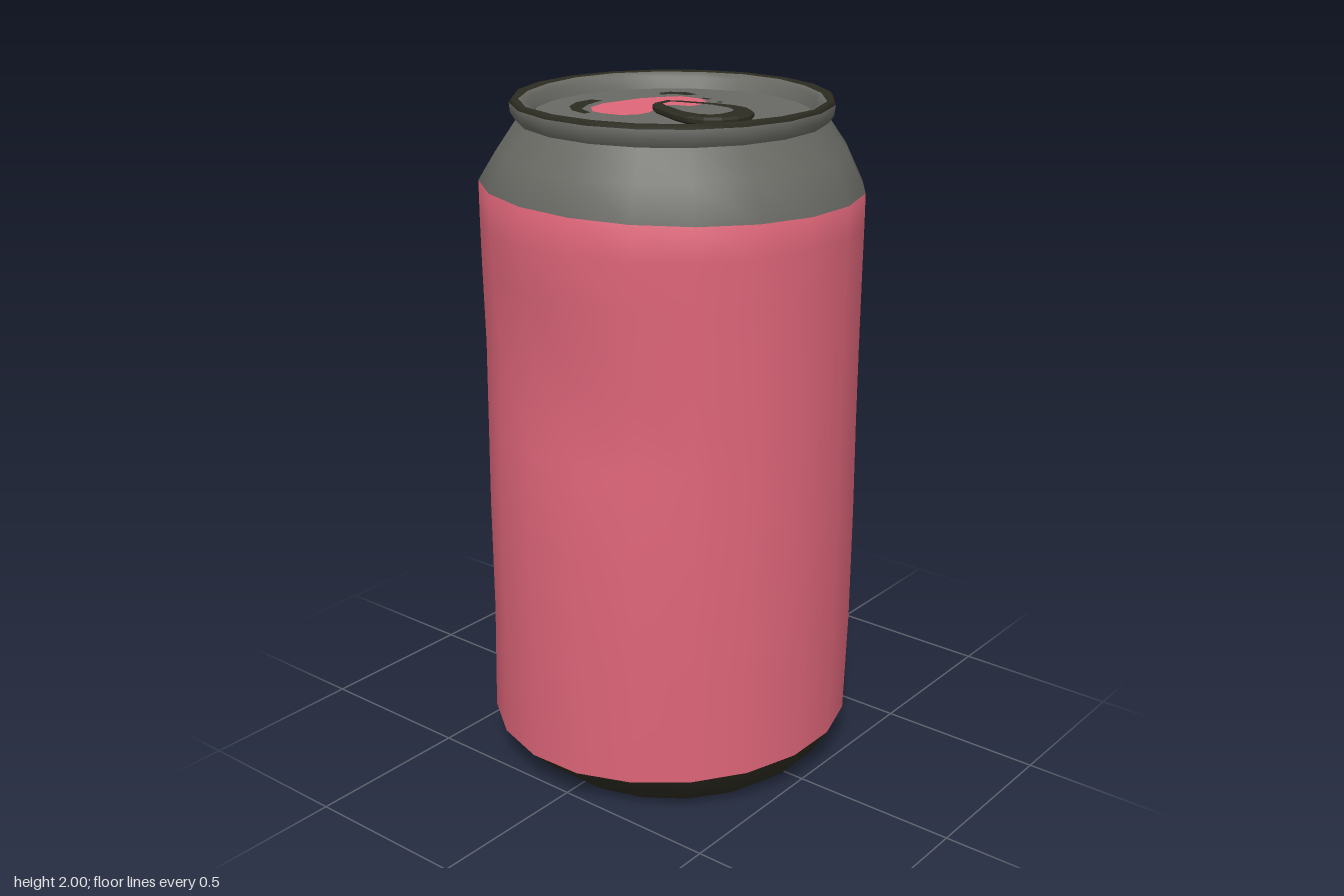
import * as THREE from 'three';
import { mergeVertices } from 'three/addons/utils/BufferGeometryUtils.js';

const SIDES = 20;

const paint = (name, color) => {
  const m = new THREE.MeshStandardMaterial({ color });
  m.name = name;
  return m;
};

export function createModel() {
  const red = paint('red paint', 0xdf667a);
  const metal = paint('grey metal', 0x696a64);
  const dark = paint('dark grime', 0x2d2c21);
  const palette = [red, metal, dark];
  const can = new THREE.Group();
  can.name = 'drinkCan';

  const add = (name, geometry, material, y = 0) => {
    const mesh = new THREE.Mesh(geometry, material);
    mesh.name = name;
    mesh.position.y = y;
    can.add(mesh);
    return mesh;
  };

  // Smooth turned shell. Profile rows are [radius, y, material of the strip above].
  // An optional rule moves each vertex, given its row and angle.
  const shell = (name, rows, rule) => {
    const lathe = new THREE.LatheGeometry(
      rows.map(([r, y]) => new THREE.Vector2(r, y)), SIDES, Math.PI / SIDES);
    const p = lathe.attributes.position;
    const v = new THREE.Vector3();
    if (rule) {
      for (let i = 0; i < p.count; i++) {
        v.fromBufferAttribute(p, i);
        rule(v, i % rows.length, Math.atan2(v.x, v.z));
        p.setXYZ(i, v.x, v.y, v.z);
      }
    }
    // Regroup faces by strip so that each strip can take its own colour
    const index = [], n = rows.length;
    lathe.clearGroups();
    for (let j = 0; j < n - 1; j++) {
      const start = index.length;
      for (let i = 0; i < SIDES; i++) {
        const a = i * n + j, b = a + n;
        if (rows[j][0] > 0) index.push(a, b, a + 1);
        if (rows[j + 1][0] > 0) index.push(b + 1, a + 1, b);
        else if (rows[j][0] === 0) index.push(b + 1, a + 1, b);
      }
      // Strips at the axis still need the outer triangle
      if (rows[j][0] === 0) {
        index.length = start;
        for (let i = 0; i < SIDES; i++) index.push(i * n + j, (i + 1) * n + j + 1, i * n + j + 1);
      }
      lathe.addGroup(start, index.length - start, palette.indexOf(rows[j][2] || metal));
    }
    lathe.setIndex(index);
    lathe.deleteAttribute('uv');
    lathe.deleteAttribute('normal');
    const geometry = mergeVertices(lathe, 1e-4);
    geometry.computeVertexNormals();
    return add(name, geometry, palette);
  };

  // The lower paint edge rises at the front, where the wall is also pressed in
  const lowerEdge = (v, angle) => {
    v.y += 0.022 * Math.max(0, Math.cos(angle));
    v.z -= 0.01;
  };

  // Base: slightly domed underside and chamfer
  shell('base', [
    [0, 0.03, dark], [0.3, 0.025, dark], [0.38, 0.005, dark], [0.425, 0, dark],
    [0.485, 0.05, dark], [0.545, 0.11],
  ], (v, row, angle) => { if (row === 5) lowerEdge(v, angle); });

  // Painted wall with a dent on one side, running smoothly into the bare neck
  shell('wallAndNeck', [
    [0.545, 0.11, red], [0.545, 0.45, red], [0.546, 0.8, red], [0.544, 1.07, red],
    [0.544, 1.3, red], [0.545, 1.53, red], [0.546, 1.66, red], [0.546, 1.76, metal],
    [0.495, 1.855, metal], [0.438, 1.938],
  ], (v, row, angle) => {
    if (row === 0) lowerEdge(v, angle);
    if (row === 7) v.y -= 0.013 * Math.cos(angle - 0.6);
    const around = Math.exp(-(((angle + Math.PI / 2) / 0.5) ** 2));
    const depth = { 3: 0.012, 4: 0.04, 5: 0.004 }[row] || 0;
    const s = 1 - (depth * around) / 0.545;
    v.x *= s;
    v.z *= s;
  });

  // Rolled rim with an uneven band of grime
  shell('rim', [
    [0.438, 1.938, metal], [0.452, 1.96, metal], [0.455, 1.988, dark],
    [0.446, 2, dark], [0.424, 1.997, metal], [0.405, 1.985, metal], [0.392, 1.952],
  ], (v, row, angle) => {
    if (row !== 4) return;
    const s = 1 + 0.012 * Math.sin(5 * angle) + 0.012 * Math.sin(3 * angle + 1);
    v.x *= s;
    v.z *= s;
  });

  shell('lid', [[0.392, 1.952, metal], [0, 1.952]]);

  // Flat parts drawn in plan as [x, z]
  const plan = (points) => points.map(([x, z]) => new THREE.Vector2(x, -z));
  const plate = (name, points, material, y) =>
    add(name, new THREE.ShapeGeometry(new THREE.Shape(plan(points))).rotateX(-Math.PI / 2), material, y);

  // Mouth of the can
  plate('mouth', [
    [-0.15, -0.13], [-0.145, -0.17], [-0.1, -0.215], [-0.03, -0.23], [0.1, -0.2],
    [0.15, -0.17], [0.2, -0.13], [0.205, -0.06], [0.18, -0.02], [0.12, 0], [0.07, -0.015],
    [0.02, -0.045], [-0.015, -0.055], [-0.06, -0.035], [-0.1, -0.04], [-0.14, -0.07],
  ], red, 1.955);

  // Grime marks around the mouth
  [
    [[-0.19, -0.16], [-0.175, -0.22], [-0.13, -0.27], [-0.07, -0.298], [-0.01, -0.295],
      [0, -0.26], [-0.08, -0.245], [-0.14, -0.215], [-0.165, -0.16]],
    [[0.18, -0.19], [0.2, -0.212], [0.235, -0.2], [0.26, -0.155], [0.25, -0.11],
      [0.22, -0.12], [0.215, -0.165]],
    [[0.175, 0.02], [0.19, 0.012], [0.198, 0.025], [0.185, 0.034]],
    [[0.2, -0.03], [0.205, -0.06], [0.218, -0.06], [0.217, -0.03]],
  ].forEach((points, i) => plate('grimeMark' + (i + 1), points, dark, 1.956));

  // Pull tab: outlines mirrored about the tab's own centre line
  const mirror = (half) => {
    const left = half.map(([x, z]) => [-x, z]).reverse();
    return [...half, ...left].map(([x, z]) => [x - 0.036 + 0.1 * Math.max(0, 0.17 - z), z]);
  };
  const outline = new THREE.Shape(plan(mirror([
    [0.028, -0.038], [0.052, -0.01], [0.095, 0.1], [0.11, 0.165], [0.102, 0.215],
    [0.072, 0.255], [0.028, 0.277],
  ])));
  outline.holes.push(new THREE.Path(plan(mirror([
    [0.022, -0.015], [0.038, 0.01], [0.072, 0.11], [0.072, 0.175], [0.055, 0.208], [0.025, 0.224],
  ]))));
  add('pullTab', new THREE.ExtrudeGeometry(outline, {
    depth: 0.01, bevelSize: 0.008, bevelThickness: 0.007, bevelOffset: -0.008, bevelSegments: 1,
  }).rotateX(-Math.PI / 2), dark, 1.963);

  plate('tabTongue', mirror([
    [0.028, -0.02], [0.045, 0.01], [0.08, 0.11], [0.066, 0.12], [0.035, 0.128],
  ]), metal, 1.968);

  return can;
}
